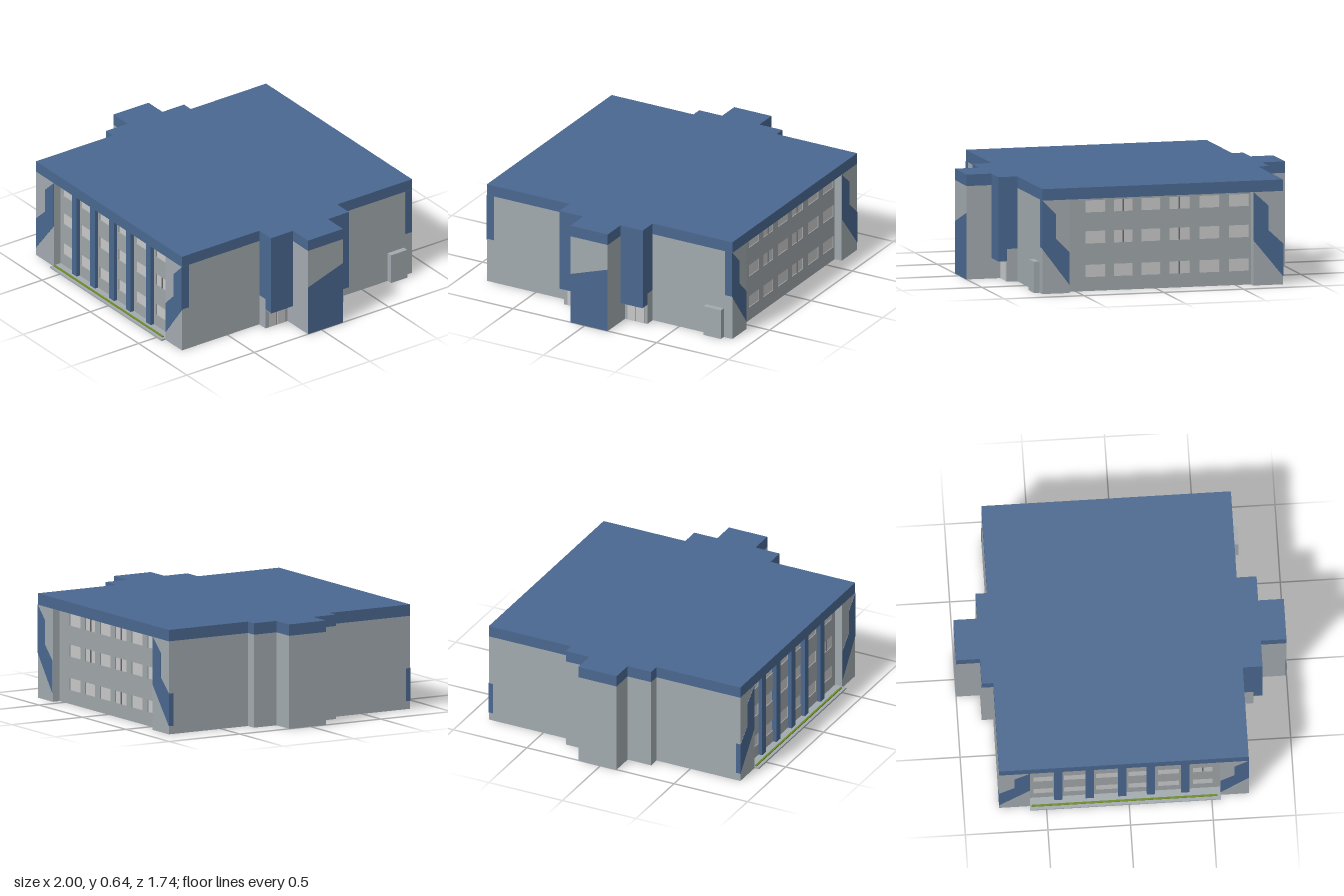
import * as THREE from 'three';

const mat = (name, color) => {
  const m = new THREE.MeshStandardMaterial({ color });
  m.name = name;
  return m;
};

export function createModel() {
  const model = new THREE.Group();
  model.name = 'building';
  const blue = mat('blue paint', 0x4a6890);
  const wallGrey = mat('wall grey', 0xa2aaaf);
  const facadeGrey = mat('facade grey', 0x9fa5a8);
  const glass = mat('pale window', 0xc8c8c8);
  const frame = mat('dark frame', 0x6a6c6e);
  const green = mat('planting green', 0x6f8a22);
  const T = 0.004, TOP = 0.57, HIGH = 0.64;
  const rect = (u0, u1, y0, y1) => [[u0, y0], [u1, y0], [u1, y1], [u0, y1]];

  // Upright plate: axis 'z' takes points as (x, y), axis 'x' takes them as (z, y)
  function plate(name, axis, at, pts, material, t = T, holes = []) {
    const shape = new THREE.Shape(pts.map(p => new THREE.Vector2(...p)));
    for (const h of holes) shape.holes.push(new THREE.Path(h.map(p => new THREE.Vector2(...p))));
    const g = new THREE.ExtrudeGeometry(shape, { depth: t, bevelEnabled: false });
    g.translate(0, 0, -t / 2);
    if (axis === 'x') g.rotateY(-Math.PI / 2);
    const mesh = new THREE.Mesh(g, material);
    mesh.position[axis] = at;
    mesh.name = name;
    model.add(mesh);
    return mesh;
  }
  function box(name, x0, x1, y0, y1, z0, z1, material) {
    const mesh = new THREE.Mesh(new THREE.BoxGeometry(x1 - x0, y1 - y0, z1 - z0), material);
    mesh.position.set((x0 + x1) / 2, (y0 + y1) / 2, (z0 + z1) / 2);
    mesh.name = name;
    model.add(mesh);
  }

  // Overall footprint
  const L = -0.785, R = 0.725, F = 0.84, B = -0.87;
  const IL = -0.6, IR = 0.555, RECESS = 0.055;
  const outline = [
    [L, F], [R, F], [R, 0.265], [0.845, 0.265], [0.845, 0.1], [1, 0.1],
    [1, -0.16], [0.845, -0.16], [0.845, -0.315], [R, -0.315], [R, B],
    [L, B], [L, -0.31], [-0.855, -0.31], [-0.855, -0.15], [-1, -0.15],
    [-1, 0.11], [-0.855, 0.11], [-0.855, 0.27], [L, 0.27],
  ];

  // Solid roof slab with the blue band
  const roofShape = new THREE.Shape(outline.map(([x, z]) => new THREE.Vector2(x, -z)));
  const roofGeo = new THREE.ExtrudeGeometry(roofShape, { depth: HIGH - TOP, bevelEnabled: false });
  roofGeo.rotateX(-Math.PI / 2);
  const roof = new THREE.Mesh(roofGeo, blue);
  roof.position.y = TOP;
  roof.name = 'roof';
  model.add(roof);

  // Plain walls along the footprint (front, back and entrance bays come later)
  const special = new Set([0, 2, 3, 7, 8, 10]);
  outline.forEach(([x0, z0], i) => {
    if (special.has(i)) return;
    const [x1, z1] = outline[(i + 1) % outline.length];
    const alongX = z0 === z1;
    const [a, b, at] = alongX ? [x0, x1, z0] : [z0, z1, x0];
    plate('wall', alongX ? 'z' : 'x', at - Math.sign(at) * T / 2, rect(Math.min(a, b), Math.max(a, b), 0, TOP), wallGrey);
  });

  // Windowed front and back, each set back between two corner piers
  const rows = [[0.085, 0.16], [0.29, 0.365], [0.48, 0.553]];
  const frontCols = [[-0.575, -0.455], [-0.39, -0.26], [-0.195, -0.065], [0, 0.115], [0.18, 0.305], [0.39, 0.51]];
  const backCols = [[-0.585, -0.46], [-0.4, -0.275], [-0.215, -0.085], [-0.03, 0.09], [0.145, 0.26], [0.315, 0.44]];
  for (const [z, s, cols, label] of [[F, 1, frontCols, 'front'], [B, -1, backCols, 'back']]) {
    const zi = z - s * RECESS;
    const openings = [];
    rows.forEach(([y0, y1], r) => cols.forEach(([x0, x1], c) => {
      openings.push(rect(x0, x1, y0, y1));
      plate(label + 'Window', 'z', zi - s * 0.002, rect(x0, x1, y0, y1), glass, 0.004);
      // Inner window surround
      plate(label + 'WindowFrame', 'z', zi - s * 0.009,
        rect(x0 - 0.012, x1 + 0.012, y0 - 0.012, y1 + 0.012), frame, 0.005, [rect(x0, x1, y0, y1)]);
      const split = s > 0 ? (c === 5 && r === 1) : (c === 2 || (c === 4 && r > 0));
      const xm = (x0 + x1) / 2;
      if (split) plate(label + 'Mullion', 'z', zi, rect(xm - 0.004, xm + 0.004, y0, y1), frame, 0.009);
    }));
    plate(label + 'Facade', 'z', zi, rect(IL, IR, 0, TOP), facadeGrey, 0.012, openings);

    for (const [x0, x1] of [[L, IL], [IR, R]]) {
      plate(label + 'Pier', 'z', z - s * T / 2, rect(x0, x1, 0, TOP), wallGrey);
      // Stepped diagonal paint across each pier
      const xm = (x0 + x1) / 2;
      plate(label + 'PierPaint', 'z', z - s * T / 2,
        [[x0, 0.05], [x1, 0.275], [x1, TOP], [xm, 0.485], [xm, 0.335], [x0, 0.25]], blue, 0.007);
    }
    for (const x of [IL, IR])
      plate(label + 'PierReturn', 'x', x, rect(Math.min(z, zi), Math.max(z, zi), 0, TOP), wallGrey);

    // Paint wrapping round the outer corners
    const strip = (w, y0, y1) => rect(Math.min(z, z - s * w), Math.max(z, z - s * w), y0, y1);
    plate('cornerPaintLeft', 'x', R - T / 2, strip(0.05, 0.28, TOP), blue, 0.007);
    plate('cornerPaintRight', 'x', L + T / 2, strip(0.03, 0.05, 0.25), blue, 0.007);
  }

  // Blue front pillars
  for (const x of [-0.425, -0.235, -0.038, 0.135, 0.342])
    box('pillar', x - 0.025, x + 0.025, 0.01, TOP, F - RECESS - 0.015, F - 0.025, blue);

  // Planter strip along the front
  box('planterKerb', IL, IR, 0, 0.01, F - RECESS, 0.87, wallGrey);
  box('planting', IL + 0.01, IR - 0.02, 0.01, 0.016, 0.838, 0.85, green);

  // Entrance bays either side of the stair block
  const doorX = 0.79, outX = 0.845, lintel = 0.125;
  for (const [zOut, zIn, s] of [[0.265, 0.1, 1], [-0.315, -0.16, -1]]) {
    const z0 = Math.min(zOut, zIn), z1 = Math.max(zOut, zIn), zm = (z0 + z1) / 2;
    plate('bayEnd', 'z', zOut - s * T / 2,
      [[R, 0.2], [doorX, 0.2], [doorX, lintel], [outX, lintel], [outX, TOP], [R, TOP]], blue);
    plate('bayEndBase', 'z', zOut - s * T / 2, rect(R, doorX, 0, 0.2), wallGrey);
    plate('bayFace', 'x', outX - T / 2, rect(z0, z1, lintel, TOP), blue);
    box('bayCeiling', doorX, outX - T, lintel, lintel + T, z0, z1, wallGrey);
    plate('doorWall', 'x', doorX - T / 2, rect(z0, z1, 0, lintel), wallGrey);
    plate('bayReturn', 'z', zIn - s * T / 2, rect(doorX, outX, 0, lintel), wallGrey);
    for (const k of [-1, 1])
      plate('door', 'x', doorX + 0.001, rect(zm + k * 0.03 - 0.028, zm + k * 0.03 + 0.028, 0.003, 0.12), glass, 0.006);
    plate('doorGap', 'x', doorX + 0.001, rect(zm - 0.002, zm + 0.002, 0.003, 0.12), frame, 0.005);
  }

  // Slanted paint on the stair block
  plate('stairBlockPaint', 'x', 1 - T / 2, [[-0.16, 0], [0.1, 0], [0.1, 0.32], [-0.16, 0.407]], blue, 0.006);

  // Side wall behind the entrance bays, with a small service porch
  plate('rearSideWall', 'x', R - T / 2, rect(B, -0.315, 0, TOP), wallGrey);
  box('servicePorch', R, R + 0.035, 0, 0.19, -0.81, -0.69, wallGrey);

  return model;
}
